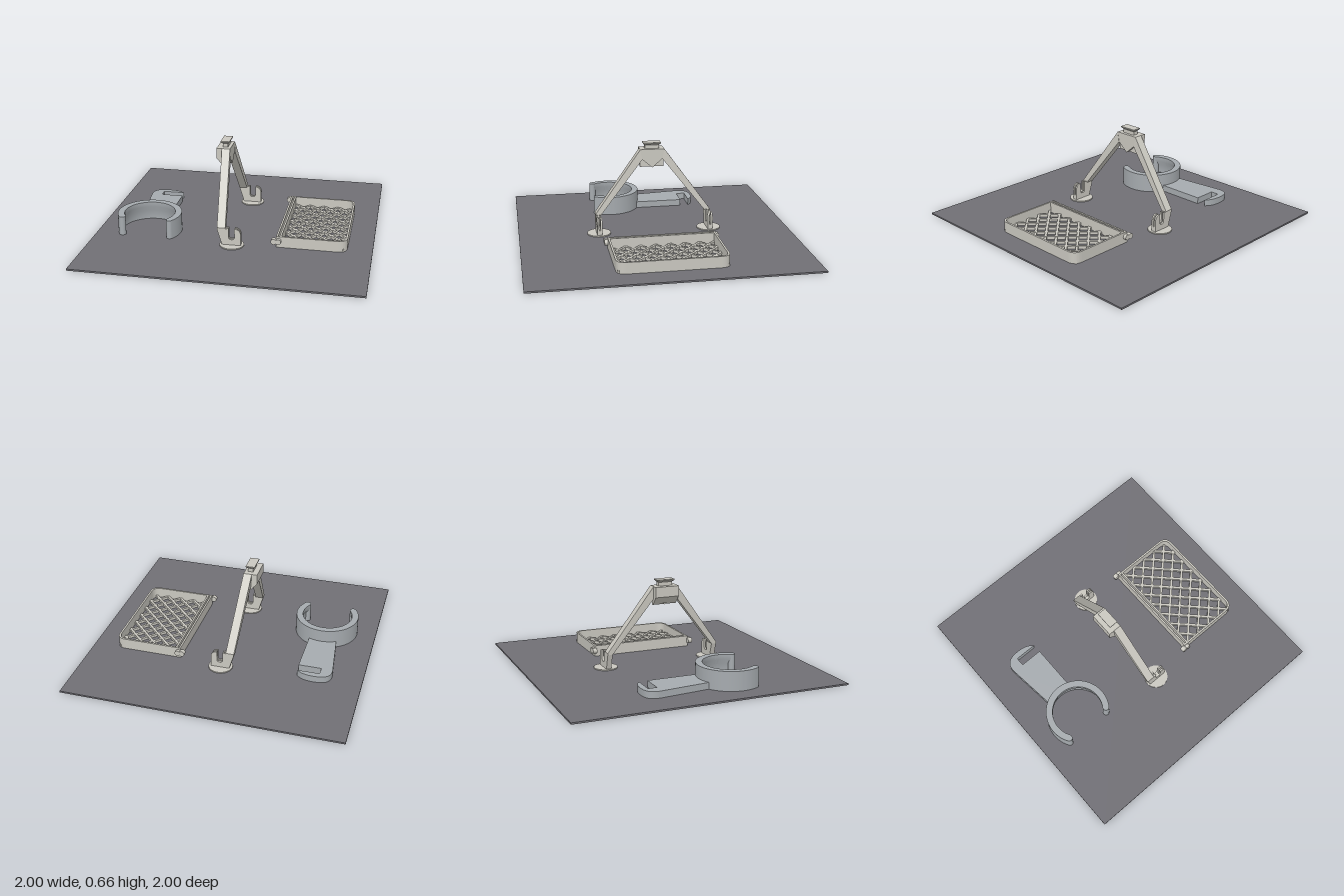
import * as THREE from 'three';
import { toCreasedNormals } from 'three/addons/utils/BufferGeometryUtils.js';
import { ConvexGeometry } from 'three/addons/geometries/ConvexGeometry.js';

const paint = (name, color) => Object.assign(new THREE.MeshStandardMaterial({ color }), { name });
const BASE = 0.012; // top of the ground plate

export function createModel() {
  const slate = paint('slate', 0x706f75);
  const grey = paint('blue grey', 0xa6abaf);
  const ivory = paint('ivory', 0xcac8c0);
  const model = new THREE.Group();

  const group = (name) => {
    const g = new THREE.Group();
    g.name = name;
    model.add(g);
    return g;
  };
  const add = (parent, name, geometry, material, x = 0, y = 0, z = 0) => {
    const mesh = new THREE.Mesh(geometry, material);
    mesh.name = name;
    mesh.position.set(x, y, z);
    parent.add(mesh);
    return mesh;
  };
  // Box given by its limits on each axis
  const box = (parent, name, mat, x0, x1, y0, y1, z0, z1) =>
    add(parent, name, new THREE.BoxGeometry(x1 - x0, y1 - y0, z1 - z0), mat,
      (x0 + x1) / 2, (y0 + y1) / 2, (z0 + z1) / 2);
  const polygon = (pts) => new THREE.Shape(pts.map(([x, y]) => new THREE.Vector2(x, y)));
  const extrude = (shape, depth) => toCreasedNormals(
    new THREE.ExtrudeGeometry(shape, { depth, bevelEnabled: false, curveSegments: 16 }), 0.5);
  // Plan outline drawn in (x, z), raised between two heights
  const slab = (shape, y0, y1) => extrude(shape, y1 - y0).rotateX(Math.PI / 2).translate(0, y1, 0);
  const hull = (pts) => new ConvexGeometry(pts.map((p) => new THREE.Vector3(...p)));

  // Ground plate
  box(model, 'groundPlate', slate, -1, 1, 0, BASE, -1, 1);

  // ---- Cup holder: open ring with an undercut bore, and a slotted arm
  const holder = group('cupHolder');
  const cx = -0.628, cz = 0.263, gap = 1.0;
  const profile = [[0.233, BASE], [0.233, 0.152], [0.185, 0.152], [0.185, 0.115],
    [0.205, 0.078], [0.205, BASE], [0.233, BASE]].map(([r, y]) => new THREE.Vector2(r, y));
  add(holder, 'holderRing', toCreasedNormals(
    new THREE.LatheGeometry(profile, 64, gap, Math.PI * 2 - gap * 2), 0.5), grey, cx, 0, cz);
  for (const s of [-1, 1]) {
    add(holder, 'ringTip', new THREE.CylinderGeometry(0.024, 0.024, 0.14, 24), grey,
      cx + s * 0.209 * Math.sin(gap), BASE + 0.07, cz + 0.209 * Math.cos(gap));
  }
  const arm = new THREE.Shape();
  arm.moveTo(-0.735, 0.085);
  arm.lineTo(-0.782, -0.31);
  arm.bezierCurveTo(-0.79, -0.4, -0.73, -0.415, -0.66, -0.415);
  arm.quadraticCurveTo(-0.58, -0.415, -0.54, -0.372);
  arm.lineTo(-0.7, -0.372);
  arm.lineTo(-0.7, -0.308);
  arm.lineTo(-0.535, -0.308);
  arm.lineTo(-0.535, 0.07);
  arm.quadraticCurveTo(-0.63, 0.03, -0.735, 0.085);
  add(holder, 'holderArm', slab(arm, BASE, 0.06), grey);

  // ---- Stand: two splayed legs meeting at a head block
  const stand = group('stand');
  const back = polygon([[-0.165, 0.615], [-0.165, 0.54], [-0.11, 0.478], [-0.09, 0.478], [-0.09, 0.615]]);
  add(stand, 'headBlock', extrude(back, 0.18), ivory, 0, 0, -0.09);
  const brace = [[-0.09, 0.615], [-0.075, 0.54], [0, 0.475], [0.075, 0.54], [0.09, 0.615]];
  add(stand, 'headBrace', hull(brace.flatMap(([z, y]) => [[-0.12, y, z], [-0.065, y, z]])), ivory);
  box(stand, 'knobNeck', ivory, -0.126, -0.088, 0.61, 0.645, -0.052, 0.052);
  const flange = [[0.02, 0.052, 0.642], [0.033, 0.066, 0.655], [0.033, 0.066, 0.662]];
  add(stand, 'knobFlange', hull(flange.flatMap(([w, d, y]) =>
    [[-w, y, -d], [w, y, -d], [-w, y, d], [w, y, d]])), ivory, -0.107);

  // Open hook that receives the tray pin
  const hook = new THREE.Shape();
  hook.moveTo(-0.053, BASE);
  hook.lineTo(0.08, BASE);
  hook.lineTo(0.08, 0.1);
  hook.quadraticCurveTo(0.078, 0.142, 0.035, 0.144);
  hook.lineTo(0.035, 0.08);
  hook.quadraticCurveTo(0.035, 0.06, 0.014, 0.06);
  hook.quadraticCurveTo(-0.007, 0.06, -0.007, 0.08);
  hook.lineTo(-0.007, 0.144);
  hook.lineTo(-0.09, 0.132);
  const web = polygon([[-0.053, BASE], [0.08, BASE], [0.08, 0.055], [-0.03, 0.055],
    [-0.03, 0.14], [-0.09, 0.132]]);

  for (const s of [-1, 1]) {
    add(stand, 'leg', hull([
      [-0.125, 0.615, s * 0.09], [-0.065, 0.615, s * 0.09],
      [-0.122, 0.54, s * 0.075], [-0.062, 0.54, s * 0.075],
      [-0.09, 0.145, s * 0.432], [-0.03, 0.145, s * 0.432],
      [-0.09, 0.132, s * 0.395], [-0.03, 0.132, s * 0.395],
      [-0.09, 0.132, s * 0.432], [-0.03, 0.132, s * 0.432],
    ]), ivory);
    add(stand, 'footDisc', new THREE.CylinderGeometry(0.087, 0.087, 0.008, 40), ivory,
      0.013, BASE + 0.004, s * 0.413);
    for (const z of [0.4015, 0.4255]) {
      add(stand, 'footHook', extrude(hook, 0.013), ivory, 0, 0, s * z - 0.0065);
    }
    add(stand, 'footWeb', extrude(web, 0.012), ivory, 0, 0, s * 0.4135 - 0.006);
  }

  // ---- Tray: rounded rim, lattice floor, and hinge pins
  const tray = group('tray');
  const outline = (Type, x0, x1, hz, r) => {
    const p = new Type();
    p.moveTo(x0, -hz);
    p.lineTo(x1 - r, -hz);
    p.quadraticCurveTo(x1, -hz, x1, -hz + r);
    p.lineTo(x1, hz - r);
    p.quadraticCurveTo(x1, hz, x1 - r, hz);
    p.lineTo(x0, hz);
    p.closePath();
    return p;
  };
  const rim = outline(THREE.Shape, 0.325, 0.823, 0.388, 0.07);
  rim.holes.push(outline(THREE.Path, 0.338, 0.809, 0.374, 0.06));
  add(tray, 'trayRim', slab(rim, BASE, 0.093), ivory);
  box(tray, 'innerRail', ivory, 0.35, 0.363, BASE, 0.093, -0.378, 0.378);
  box(tray, 'railFloor', ivory, 0.33, 0.36, BASE, 0.03, -0.378, 0.378);

  // Diagonal bars, each clipped to the tray floor
  const X0 = 0.358, X1 = 0.814, Z = 0.379, pitch = 0.107;
  for (const s of [-1, 1]) {
    for (let i = -6; i <= 5; i++) {
      // bar follows z = s * (x - middle) + c
      const mid = (X0 + X1) / 2, c = (i + 0.5) * pitch;
      const ends = [(-Z - c) * s + mid, (Z - c) * s + mid].sort((a, b) => a - b);
      const a = Math.max(X0, ends[0]), b = Math.min(X1, ends[1]);
      if (b - a < 0.03) continue;
      const x = (a + b) / 2;
      const bar = add(tray, 'latticeBar',
        new THREE.BoxGeometry((b - a) * Math.SQRT2 - 0.008, 0.02, 0.018), ivory,
        x, BASE + 0.01 + (s > 0 ? 0.001 : 0), s * (x - mid) + c);
      bar.rotation.y = -s * Math.PI / 4;
    }
  }

  // Hinge pins at the two rear corners
  for (const s of [-1, 1]) {
    box(tray, 'hingeArm', ivory, 0.305, 0.35, 0.048, 0.073, s * 0.398 - 0.012, s * 0.398 + 0.012);
    for (const [x, r] of [[0.311, 0.021], [0.343, 0.02]]) {
      add(tray, 'hingePin', new THREE.CylinderGeometry(r, r, 0.032, 20).rotateX(Math.PI / 2),
        ivory, x, 0.06, s * 0.396);
    }
  }
  return model;
}
